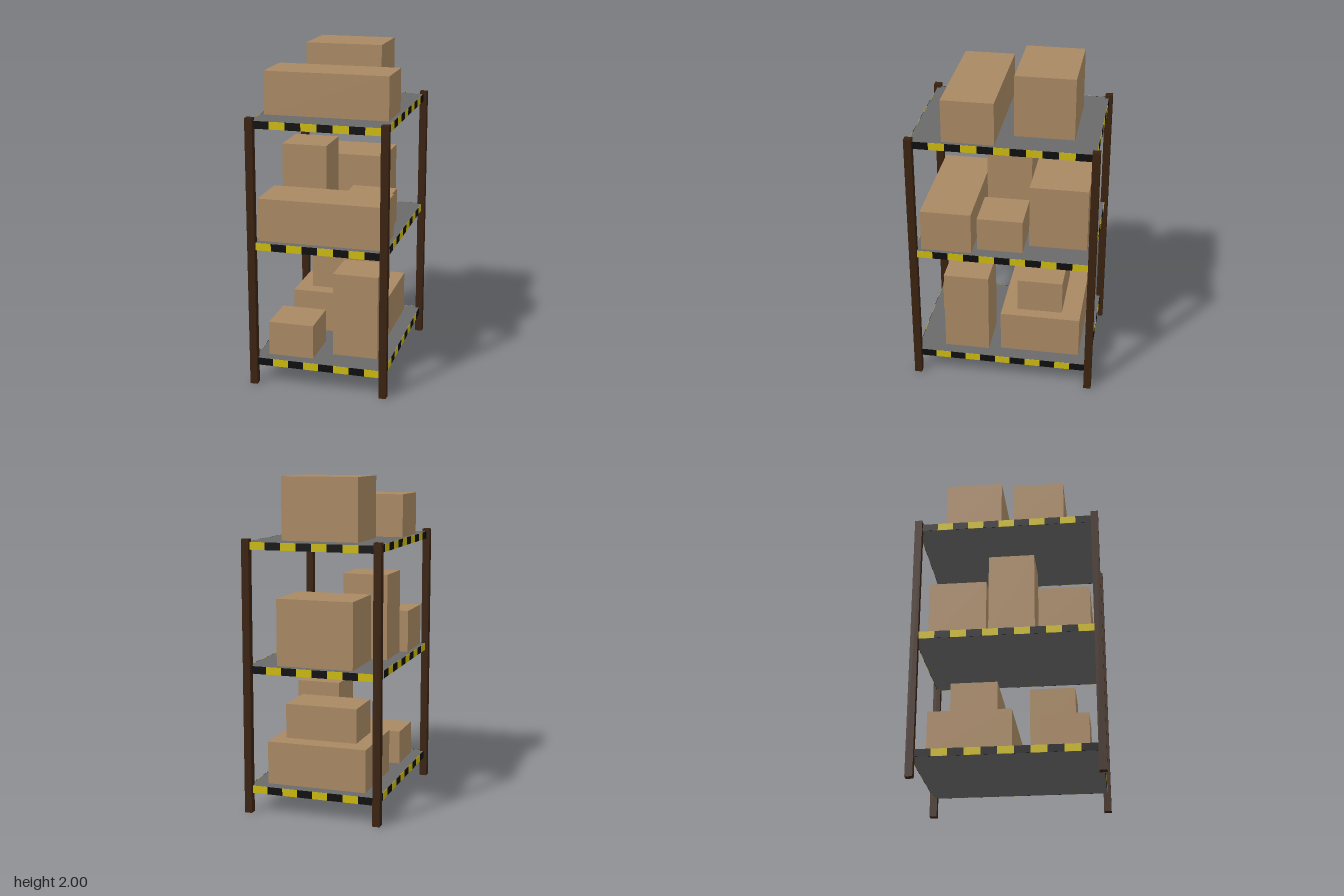
import * as THREE from 'three';

const mat = (name, color) => {
  const m = new THREE.MeshStandardMaterial({ color });
  m.name = name;
  return m;
};

export function createModel() {
  const rack = new THREE.Group();
  rack.name = 'storageRack';

  const post = mat('darkBrownPost', 0x3a2210);
  const grey = mat('greyShelf', 0x6a6a6a);
  const card = mat('cardboard', 0xa88863);
  const black = mat('blackStripe', 0x0e0e0e);
  const yellow = mat('yellowStripe', 0xcab80f);

  // Box given by its lower and upper limits on each axis
  const block = (parent, name, material, [x0, x1], [y0, y1], [z0, z1]) => {
    const mesh = new THREE.Mesh(new THREE.BoxGeometry(x1 - x0, y1 - y0, z1 - z0), material);
    mesh.position.set((x0 + x1) / 2, (y0 + y1) / 2, (z0 + z1) / 2);
    mesh.name = name;
    parent.add(mesh);
  };

  const W = 0.4, D = 0.54, T = 0.045, P = 0.0225;

  // Four corner posts
  for (const x of [-W, W])
    for (const z of [-D, D])
      block(rack, 'cornerPost', post, [x - P, x + P], [0, 1.645], [z - P, z + P]);

  // Shelves with hazard stripes along all four edges
  const tops = [0.165, 0.896, 1.627];
  const e = 0.002;
  tops.forEach((top, level) => {
    const shelf = new THREE.Group();
    shelf.name = 'shelf';
    rack.add(shelf);
    const y = [top - T, top];
    block(shelf, 'shelfBoard', grey, [-W, W], y, [-D, D]);

    const colour = (i) => ((i + level) % 2 ? yellow : black);
    const fx = W - P, fz = D - P;
    for (const s of [-1, 1]) {
      const zs = s > 0 ? [D, D + e] : [-D - e, -D];
      const xs = s > 0 ? [W, W + e] : [-W - e, -W];
      const sx = (2 * fx) / 8, sz = (2 * fz) / 11;
      for (let i = 0; i < 8; i++)
        block(shelf, 'hazardStripe', colour(i), [-fx + i * sx, -fx + (i + 1) * sx], y, zs);
      for (let i = 0; i < 11; i++)
        block(shelf, 'hazardStripe', colour(i), xs, y, [-fz + i * sz, -fz + (i + 1) * sz]);
    }
  });

  // Cardboard boxes: x limits, y limits, z limits
  const [a, b, c] = tops;
  const boxes = [
    // lower shelf
    [[-0.328, -0.05], [a, 0.375], [0.19, 0.47]],
    [[0.048, 0.325], [a, 0.685], [0.098, 0.376]],
    [[-0.307, 0.307], [a, 0.425], [-0.468, 0.025]],
    [[-0.212, 0.235], [0.425, 0.636], [-0.35, -0.07]],
    // middle shelf
    [[-0.375, 0.375], [b, 1.155], [0.19, 0.497]],
    [[-0.328, -0.05], [b, 1.414], [-0.114, 0.164]],
    [[0.048, 0.325], [b, 1.106], [-0.114, 0.164]],
    [[-0.235, 0.235], [b, 1.296], [-0.493, -0.14]],
    // upper shelf
    [[-0.375, 0.375], [c, 1.885], [0.045, 0.352]],
    [[-0.235, 0.235], [c, 2.0], [-0.4, -0.048]],
  ];
  for (const box of boxes) block(rack, 'cardboardBox', card, ...box);

  return rack;
}
